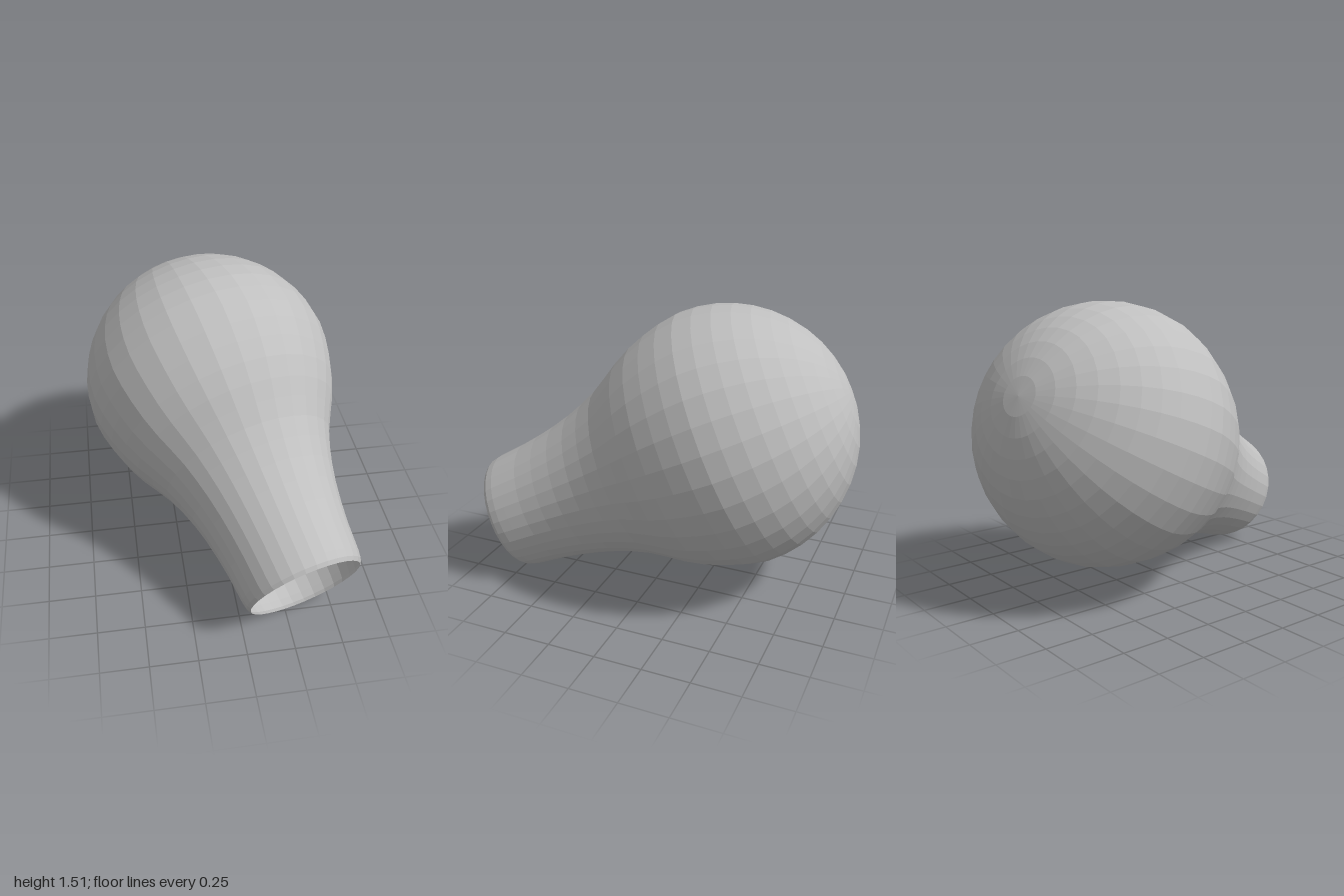
import * as THREE from 'three';

export function createModel() {
  const group = new THREE.Group();
  const grey = new THREE.MeshStandardMaterial({ color: 0xbfbfbf, flatShading: true, side: THREE.DoubleSide });
  grey.name = 'plain grey';

  // Open neck, measured along the axis from the centre of the round end: [radius, axial position]
  const neck = [
    [0.303, -1.315], [0.317, -1.295], [0.325, -1.255], [0.33, -1.2], [0.339, -1.1],
    [0.355, -0.99], [0.376, -0.88], [0.404, -0.77], [0.437, -0.67], [0.475, -0.575],
    [0.525, -0.485], [0.575, -0.4], [0.622, -0.3], [0.656, -0.2], [0.681, -0.1],
  ];
  const profile = neck.map(([r, y]) => new THREE.Vector2(r, y));

  // Spherical end
  const radius = 0.694, rings = 11;
  for (let i = 0; i <= rings; i++) {
    const a = (i / rings) * Math.PI / 2;
    profile.push(new THREE.Vector2(i === rings ? 0 : radius * Math.cos(a), radius * Math.sin(a)));
  }

  const bulb = new THREE.Mesh(new THREE.LatheGeometry(profile, 32), grey);
  bulb.name = 'bulbShell';

  // Tilt so that the open neck points forward, down and to the left
  const axis = new THREE.Vector3(-0.32, 0.535, -1.155).normalize();
  bulb.quaternion.setFromUnitVectors(new THREE.Vector3(0, 1, 0), axis);
  bulb.position.set(0, 0.82, -0.305);
  group.add(bulb);
  return group;
}
